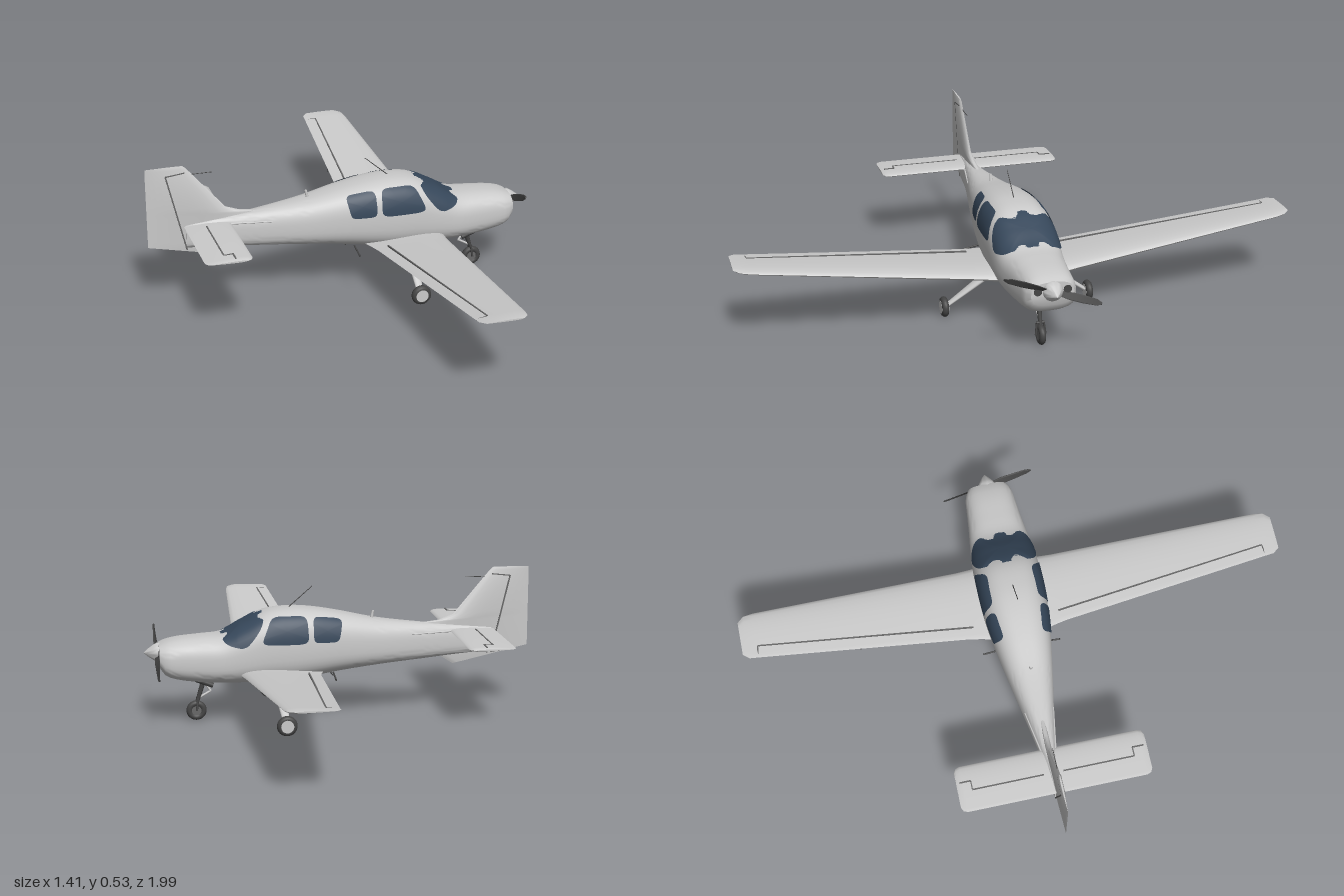
import * as THREE from 'three';
import { toCreasedNormals } from 'three/addons/utils/BufferGeometryUtils.js';

const mat = (name, color, side = THREE.FrontSide) => {
  const m = new THREE.MeshStandardMaterial({ color, side });
  m.name = name;
  return m;
};
const V = (x, y, z) => new THREE.Vector3(x, y, z);
const range = (n) => [...Array(n).keys()];

// Skin closed rings into a capped solid, facing outwards
function loft(rings, crease = 0.7) {
  const n = rings[0].length, pos = [], idx = [];
  rings.forEach((r) => r.forEach((p) => pos.push(p.x, p.y, p.z)));
  for (let i = 0; i < rings.length - 1; i++) for (let j = 0; j < n; j++) {
    const a = i * n + j, b = i * n + (j + 1) % n;
    idx.push(a, b, a + n, b, b + n, a + n);
  }
  const last = (rings.length - 1) * n;
  for (let j = 1; j < n - 1; j++) idx.push(0, j + 1, j, last, last + j, last + j + 1);
  const at = (k) => V(pos[k * 3], pos[k * 3 + 1], pos[k * 3 + 2]);
  let volume = 0;
  for (let k = 0; k < idx.length; k += 3) volume += at(idx[k]).dot(at(idx[k + 1]).cross(at(idx[k + 2])));
  if (volume < 0) idx.reverse();
  const g = new THREE.BufferGeometry();
  g.setAttribute('position', new THREE.Float32BufferAttribute(pos, 3));
  g.setIndex(idx);
  return toCreasedNormals(g, crease);
}

// Teardrop section between a leading and a trailing point; up holds the thickness
const foil = (le, te, up) => range(24).map((i) => {
  const a = i / 24 * Math.PI * 2, c = Math.cos(a);
  return te.clone().lerp(le, (1 + c) / 2).addScaledVector(up, 0.5 * Math.sin(a) * (0.65 + 0.45 * c));
});

// Fuselage stations: x, top, bottom, half width
const stations = [
  [-0.57, 0.312, 0.222, 0.010], [-0.42, 0.325, 0.212, 0.028], [-0.31, 0.336, 0.203, 0.046],
  [-0.14, 0.358, 0.190, 0.078], [0, 0.388, 0.175, 0.102], [0.10, 0.405, 0.160, 0.115],
  [0.18, 0.410, 0.150, 0.120], [0.27, 0.400, 0.147, 0.121], [0.35, 0.362, 0.147, 0.119],
  [0.42, 0.326, 0.149, 0.112], [0.50, 0.318, 0.153, 0.102], [0.575, 0.312, 0.163, 0.094],
  [0.625, 0.302, 0.180, 0.088], [0.648, 0.292, 0.210, 0.074]];
const slope = (i, k) => {
  const a = stations[Math.max(i - 1, 0)], b = stations[Math.min(i + 1, stations.length - 1)];
  return (b[k] - a[k]) / (b[0] - a[0]);
};
function section(x) {
  let i = 0;
  while (i < stations.length - 2 && x > stations[i + 1][0]) i++;
  const p = stations[i], q = stations[i + 1], d = q[0] - p[0], t = (x - p[0]) / d;
  return [1, 2, 3].map((k) => (2 * t ** 3 - 3 * t * t + 1) * p[k] + (t ** 3 - 2 * t * t + t) * d * slope(i, k)
    + (3 * t * t - 2 * t ** 3) * q[k] + (t ** 3 - t * t) * d * slope(i + 1, k));
}
const N = 2.8;
const spow = (v, e) => Math.sign(v) * Math.abs(v) ** e;
function skin(x, angle, grow = 0) {
  const [top, bottom, w] = section(x), c = bottom + 0.45 * (top - bottom), s = Math.sin(angle);
  const h = (s > 0 ? top - c : c - bottom) + grow;
  return V(x, c + h * spow(s, 2 / N), (w + grow) * spow(Math.cos(angle), 2 / N));
}
function skinAtHeight(x, y, side, grow) {
  const [top, bottom] = section(x), c = bottom + 0.45 * (top - bottom);
  const k = Math.min(0.98, Math.max(0, (y - c) / (top - c)));
  const p = skin(x, Math.asin(k ** (N / 2)), grow);
  if (side < 0) p.z *= -1;
  return p;
}

// Rounded pane mapped from the square [-1,1] onto the fuselage
function pane(map) {
  const R = 10, S = 48, pos = [], idx = [];
  for (let r = 0; r <= R; r++) for (let s = 0; s < S; s++) {
    const a = s / S * Math.PI * 2;
    const p = map(r / R * spow(Math.cos(a), 0.36), r / R * spow(Math.sin(a), 0.36));
    pos.push(p.x, p.y, p.z);
    if (r < R) {
      const i = r * S + s, j = r * S + (s + 1) % S;
      idx.push(i, i + S, j, j, i + S, j + S);
    }
  }
  const g = new THREE.BufferGeometry();
  g.setAttribute('position', new THREE.Float32BufferAttribute(pos, 3));
  g.setIndex(idx);
  g.computeVertexNormals();
  return g;
}

export function createModel() {
  const model = new THREE.Group();
  const paint = mat('light grey paint', 0xcacaca);
  const glass = mat('blue grey glass', 0x36475a, THREE.DoubleSide);
  const dark = mat('dark rubber', 0x444444);
  const line = mat('panel gap grey', 0x686868);

  const add = (name, geo, m, parent = model) => {
    const mesh = new THREE.Mesh(geo, m);
    mesh.name = name;
    parent.add(mesh);
    return mesh;
  };
  const rod = (name, a, b, r1, r2, m, flat = 1) => {
    const mesh = add(name, new THREE.CylinderGeometry(r2, r1, a.distanceTo(b), 14), m);
    mesh.position.copy(a).lerp(b, 0.5);
    mesh.quaternion.setFromUnitVectors(V(0, 1, 0), b.clone().sub(a).normalize());
    mesh.scale.z = flat;
    return mesh;
  };
  // Hinge gap: a thin strip cutting through a surface and showing on both faces
  const seam = (name, a, b, ha, hb, w = V(0.0025, 0, 0)) => add(name, loft([[a, ha], [b, hb]].map(([p, h]) => [
    p.clone().add(w).add(h), p.clone().sub(w).add(h), p.clone().sub(w).sub(h), p.clone().add(w).sub(h)])), line);

  // Fuselage
  add('fuselage', loft(range(65).map((i) => {
    const x = -0.57 + 1.218 * i / 64;
    return range(48).map((j) => skin(x, j / 48 * Math.PI * 2));
  }), 0.9), paint);

  // Windscreen
  add('windscreen', pane((u, v) => {
    const s4 = u ** 4, aft = 0.278 + 0.055 * s4, fore = 0.428 - 0.06 * s4;
    return skin(THREE.MathUtils.lerp(aft, fore, (v + 1) / 2), Math.PI / 2 + u * 1.3, 0.003);
  }), glass);

  // Side windows: corners lower rear, lower front, upper front, upper rear
  const windows = {
    rearWindow: [[0.012, 0.296], [0.105, 0.298], [0.104, 0.387], [-0.004, 0.373]],
    frontWindow: [[0.122, 0.295], [0.294, 0.297], [0.252, 0.39], [0.126, 0.39]],
  };
  for (const side of [1, -1]) for (const [name, c] of Object.entries(windows)) {
    add(name, pane((u, v) => {
      const p = (u + 1) / 2, q = (v + 1) / 2;
      const [x, y] = [0, 1].map((k) => (1 - q) * ((1 - p) * c[0][k] + p * c[1][k]) + q * ((1 - p) * c[3][k] + p * c[2][k]));
      return skinAtHeight(x, y, side, 0.003);
    }), glass);
  }

  for (const s of [1, -1]) {
    // Wing: z, leading x, trailing x, height, thickness
    add('wing', loft([
      [0.05, 0.372, 0.06, 0.182, 0.058], [0.13, 0.362, 0.08, 0.190, 0.05], [0.18, 0.357, 0.088, 0.196, 0.044],
      [0.94, 0.319, 0.146, 0.289, 0.022], [0.975, 0.312, 0.148, 0.294, 0.018], [0.997, 0.29, 0.165, 0.297, 0.007],
    ].map(([z, le, te, y, t]) => foil(V(le, y, s * z), V(te, y, s * z), V(0, t, 0)))), paint);
    const up = (h) => V(0, h, 0);
    seam('aileronGap', V(0.13, 0.192, s * 0.16), V(0.19, 0.288, s * 0.94), up(0.0125), up(0.0065));
    seam('aileronEndGap', V(0.19, 0.288, s * 0.94), V(0.15, 0.288, s * 0.945), up(0.006), up(0.002), V(0, 0, 0.002));

    // Tailplane
    add('tailplane', loft([[0, 0], [0.32, 0], [0.335, 0.006], [0.342, 0.02]].map(([z, d]) =>
      foil(V(-0.41 - d, 0.304, s * z), V(-0.576 + d, 0.304, s * z), V(0, 0.02 - d * 0.6, 0)))), paint);
    seam('elevatorGap', V(-0.502, 0.304, s * 0.035), V(-0.502, 0.304, s * 0.29), up(0.0072), up(0.0072));
    seam('elevatorHornGap', V(-0.47, 0.304, s * 0.29), V(-0.47, 0.304, s * 0.33), up(0.0102), up(0.0095));
    seam('elevatorSideGap', V(-0.502, 0.304, s * 0.29), V(-0.47, 0.304, s * 0.29), up(0.0072), up(0.01), V(0, 0, 0.002));
    rod('tailStrake', V(-0.45, 0.304, s * 0.02), V(-0.265, 0.303, s * 0.052), 0.004, 0.002, paint);

    // Main undercarriage
    rod('mainLeg', V(0.222, 0.05, s * 0.25), V(0.235, 0.172, s * 0.085), 0.012, 0.025, paint, 0.5);
    const wheel = new THREE.Group();
    wheel.name = 'mainWheel';
    wheel.position.set(0.222, 0.042, s * 0.265);
    model.add(wheel);
    add('tyre', new THREE.TorusGeometry(0.024, 0.0125, 12, 32), dark, wheel);
    add('hub', new THREE.CylinderGeometry(0.023, 0.023, 0.026, 24), paint, wheel).rotation.x = Math.PI / 2;

    // Steps, exhausts and cowling intakes
    rod('step', V(0.03, 0.18, s * 0.08), V(0.03, 0.168, s * 0.145), 0.003, 0.003, dark);
    rod('exhaust', V(0.46, 0.142, s * 0.045), V(0.52, 0.165, s * 0.045), 0.009, 0.009, dark);
    const intake = add('intake', new THREE.CylinderGeometry(0.014, 0.014, 0.004, 24), dark);
    intake.position.set(0.648, 0.262, s * 0.051);
    intake.rotation.z = Math.PI / 2;
  }

  // Fin with ventral keel: leading x,y then trailing x,y and thickness
  add('fin', loft([
    [-0.425, 0.177, -0.706, 0.238, 0.008], [-0.382, 0.205, -0.706, 0.262, 0.018], [-0.30, 0.334, -0.706, 0.345, 0.026],
    [-0.37, 0.342, -0.706, 0.36, 0.026], [-0.425, 0.362, -0.706, 0.38, 0.025], [-0.56, 0.522, -0.706, 0.522, 0.016],
    [-0.572, 0.532, -0.704, 0.532, 0.008],
  ].map(([lx, ly, tx, ty, t]) => foil(V(lx, ly, 0), V(tx, ty, 0), V(0, 0, t)))), paint);
  seam('rudderGap', V(-0.568, 0.215, 0), V(-0.635, 0.5, 0), V(0, 0, 0.009), V(0, 0, 0.008));
  seam('rudderHornGap', V(-0.635, 0.5, 0), V(-0.567, 0.508, 0), V(0, 0, 0.008), V(0, 0, 0.007), V(0, 0.002, 0));

  // Nose undercarriage
  rod('noseStrut', V(0.513, 0.075, 0), V(0.485, 0.165, 0), 0.007, 0.01, dark);
  rod('scissorLink', V(0.465, 0.11, 0), V(0.51, 0.085, 0), 0.004, 0.004, paint);
  rod('scissorLink', V(0.465, 0.11, 0), V(0.488, 0.145, 0), 0.004, 0.004, paint);
  for (const s of [1, -1]) rod('noseFork', V(0.517, 0.041, s * 0.017), V(0.512, 0.082, s * 0.012), 0.004, 0.004, dark);
  rod('forkBridge', V(0.512, 0.082, -0.014), V(0.512, 0.082, 0.014), 0.005, 0.005, dark);
  add('noseTyre', new THREE.TorusGeometry(0.025, 0.0115, 12, 32), dark).position.set(0.517, 0.04, 0);
  const hub = add('noseHub', new THREE.CylinderGeometry(0.02, 0.02, 0.016, 24), line);
  hub.position.set(0.517, 0.04, 0);
  hub.rotation.x = Math.PI / 2;

  // Propeller and spinner
  const propeller = new THREE.Group();
  propeller.name = 'propeller';
  propeller.position.set(0.655, 0.26, 0);
  propeller.rotation.x = -0.36;
  model.add(propeller);
  const profile = [[0, -0.012], [0.034, -0.012], [0.034, 0], [0.026, 0.014], [0.014, 0.031], [0, 0.047]];
  add('spinner', toCreasedNormals(new THREE.LatheGeometry(profile.map(([r, y]) => new THREE.Vector2(r, y)), 28), 0.7),
    paint, propeller).rotation.z = -Math.PI / 2;
  for (const s of [1, -1]) {
    add('blade', loft([[0.015, 0.008, 0.8], [0.06, 0.014, 0.6], [0.11, 0.014, 0.4], [0.16, 0.011, 0.3], [0.18, 0.004, 0.25]]
      .map(([r, c, a]) => {
        const d = V(Math.sin(a) * c, s * Math.cos(a) * c, 0), o = V(0, 0, s * r);
        return foil(o.clone().add(d), o.clone().sub(d), V(0.008, 0, 0));
      })), dark, propeller);
  }

  // Aerials and probes
  rod('whipAerial', V(0.185, 0.405, 0), V(0.094, 0.483, 0), 0.0018, 0.0012, dark);
  rod('rearAerial', V(-0.122, 0.355, 0), V(-0.128, 0.386, 0), 0.006, 0.004, paint);
  rod('finProbe', V(-0.57, 0.498, 0), V(-0.468, 0.498, 0), 0.0015, 0.0012, dark);
  rod('wingProbe', V(0.135, 0.238, -0.58), V(0.135, 0.198, -0.58), 0.002, 0.002, dark);
  rod('bellyAerial', V(0.04, 0.18, 0), V(0.02, 0.15, 0), 0.003, 0.002, dark);

  return model;
}
